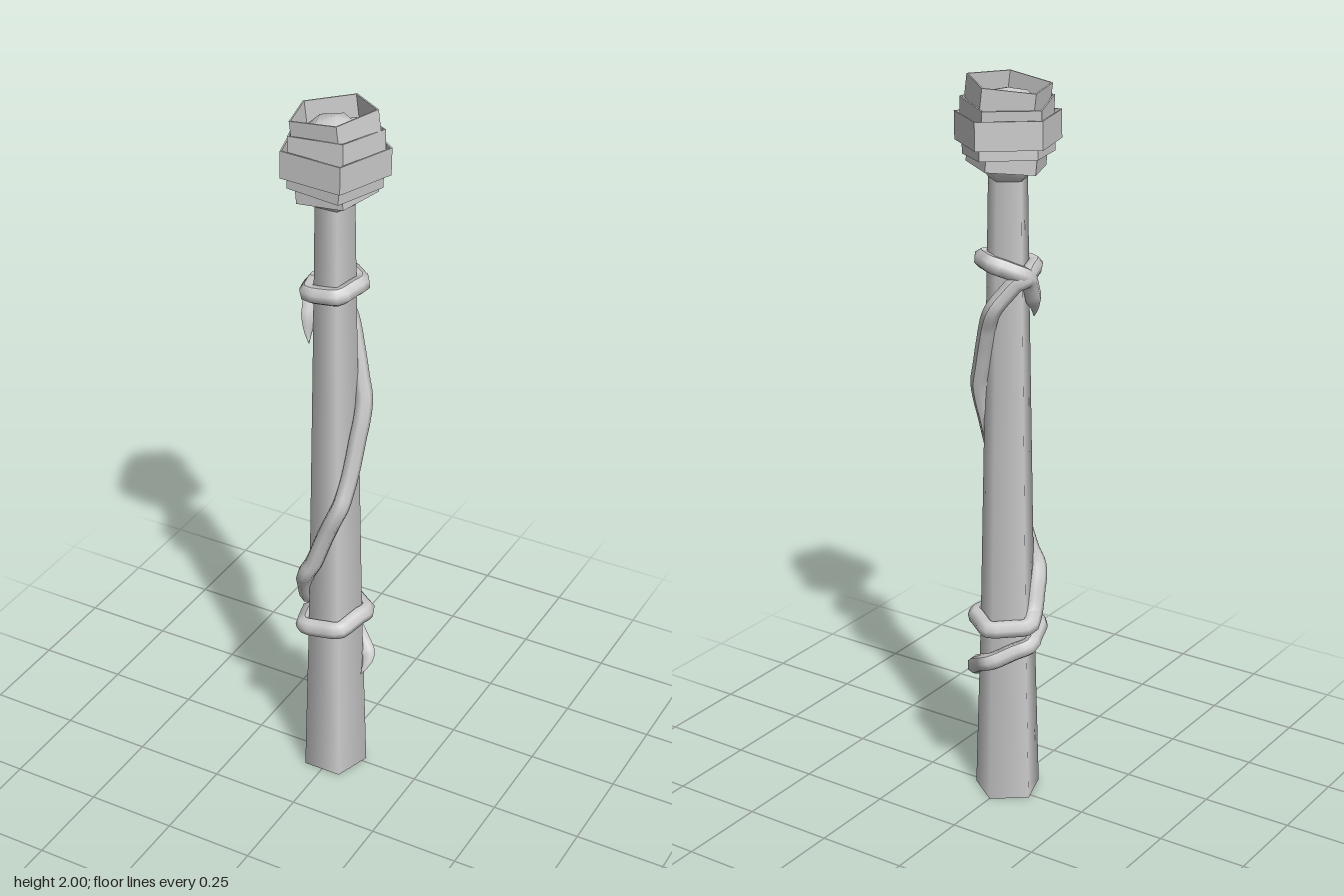
import * as THREE from 'three';

const SIDES = 5;
const PHASE = Math.PI / 5; // flat side to the front, corner to the back
const rad = THREE.MathUtils.degToRad;

// radius, height
const SHAFT = [[0.092, 0], [0.077, 0.5], [0.067, 1.0], [0.058, 1.45], [0.053, 1.75]];

// linear lookup in a list of [value, key] pairs
function lookup(table, key) {
  for (let i = 1; i < table.length; i++) {
    const [v0, k0] = table[i - 1], [v1, k1] = table[i];
    if (key <= k1) return v0 + (v1 - v0) * (key - k0) / (k1 - k0);
  }
  return table[table.length - 1][0];
}

function pentaLathe(profile) {
  const points = profile.map(([r, y]) => new THREE.Vector2(r, y));
  return new THREE.LatheGeometry(points, SIDES, PHASE, Math.PI * 2);
}

// distance from the axis to a pentagon wall at a given angle
function pentaRadius(corner, angle) {
  const step = (Math.PI * 2) / SIDES;
  const local = THREE.MathUtils.euclideanModulo(angle - PHASE, step) - step / 2;
  return corner * Math.cos(step / 2) / Math.cos(local);
}

// vine climbing the shaft: [height, angle in degrees from the front towards +x]
const VINE = [
  [0.32, 88], [0.38, 125], [0.42, 180], [0.45, 225], [0.475, 270], [0.495, 360], [0.52, 450],
  [0.515, 540], [0.52, 610], [0.55, 645], [0.62, 670], [0.68, 695], [0.77, 720], [0.9, 760],
  [1.0, 790], [1.1, 812], [1.27, 850], [1.36, 880], [1.43, 910], [1.48, 950], [1.5, 990],
  [1.51, 1080], [1.525, 1170], [1.53, 1260], [1.5, 1330], [1.48, 1350], [1.42, 1385], [1.36, 1410],
];

function vineGeometry() {
  const points = [];
  const first = VINE[0][1], last = VINE[VINE.length - 1][1];
  for (let a = first; a <= last; a += 12) {
    const y = lookup(VINE, a), t = rad(a);
    const r = pentaRadius(lookup(SHAFT, y) + 0.017, t);
    points.push(new THREE.Vector3(Math.sin(t) * r, y, Math.cos(t) * r));
  }
  const curve = new THREE.CatmullRomCurve3(points);
  const rings = 180, around = 7;
  const geo = new THREE.TubeGeometry(curve, rings, 0.024, around);
  // taper both ends to a point
  const pos = geo.attributes.position, v = new THREE.Vector3();
  for (let i = 0; i <= rings; i++) {
    const centre = curve.getPointAt(i / rings);
    const scale = Math.min(1, Math.min(i, rings - i) / 5 + 0.03);
    for (let j = 0; j <= around; j++) {
      const k = i * (around + 1) + j;
      v.fromBufferAttribute(pos, k).sub(centre).multiplyScalar(scale).add(centre);
      pos.setXYZ(k, v.x, v.y, v.z);
    }
  }
  geo.computeVertexNormals();
  return geo;
}

export function createModel() {
  const root = new THREE.Group();
  root.name = 'torch';
  const body = new THREE.Group();
  body.name = 'torchBody';
  body.position.z = 0.012;
  root.add(body);

  const smooth = new THREE.MeshStandardMaterial({ color: 0xcccccc });
  const cloth = new THREE.MeshStandardMaterial({ color: 0xcccccc, flatShading: true, side: THREE.DoubleSide });
  const add = (name, geometry, material) => {
    const mesh = new THREE.Mesh(geometry, material);
    mesh.name = name;
    body.add(mesh);
    return mesh;
  };

  // tapered five-sided handle
  add('shaft', pentaLathe(SHAFT), smooth);
  add('shaftBase', pentaLathe([[0, 0], [SHAFT[0][0], 0]]), smooth);

  // domed core inside the wrappings
  add('headCore', pentaLathe([[0.053, 1.74], [0.088, 1.78], [0.098, 1.86], [0.09, 1.925], [0.05, 1.96], [0, 1.97]]), smooth);

  // vine
  add('vine', vineGeometry(), smooth);

  // loose bands: corner radius, bottom, top, tilt about z, tilt about x, twist
  const bands = [
    [0.108, 1.77, 1.84, 0.06, 0.05, 0.05],
    [0.124, 1.8, 1.865, -0.07, 0.04, -0.04],
    [0.143, 1.832, 1.905, -0.03, 0.02, -0.03],
    [0.126, 1.875, 1.94, 0.05, -0.06, 0.04],
    [0.114, 1.925, 1.985, 0.12, 0.02, -0.05],
  ];
  bands.forEach(([r, y0, y1, tiltZ, tiltX, twist], i) => {
    const h = (y1 - y0) / 2, inner = r - 0.005;
    const geo = pentaLathe([[r, -h], [r, h], [inner, h], [inner, -h], [r, -h]]);
    const band = add('wrapBand' + (i + 1), geo, cloth);
    band.position.y = (y0 + y1) / 2;
    band.rotation.set(tiltX, twist, tiltZ);
  });

  return root;
}
